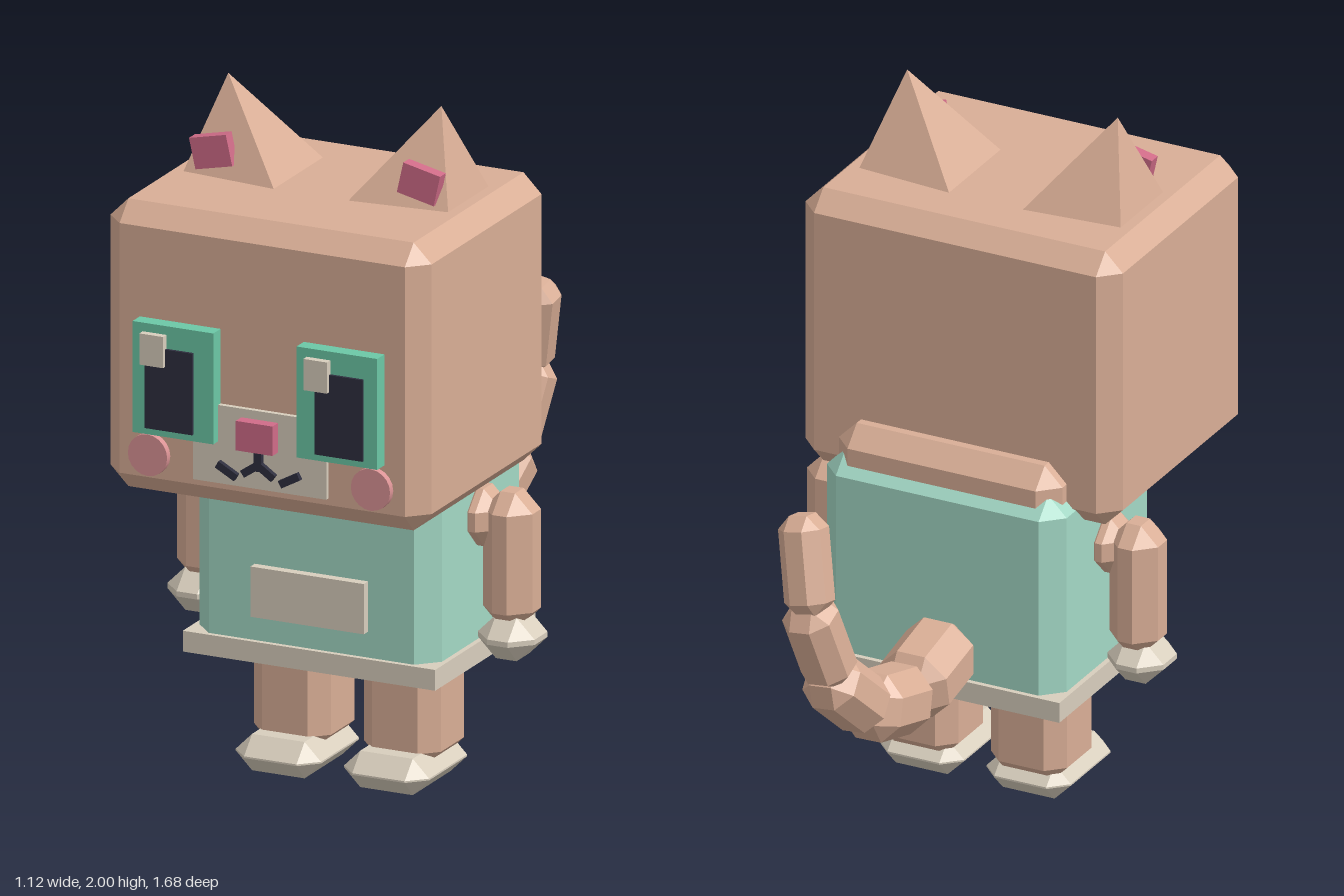
import * as THREE from 'three';
import { ConvexGeometry } from 'three/addons/geometries/ConvexGeometry.js';

const mat = (name, color) => {
  const m = new THREE.MeshStandardMaterial({ color });
  m.name = name;
  return m;
};

// Box with every edge cut flat by c
function chamferBox(w, h, d, c) {
  const pts = [];
  for (const x of [-1, 1]) for (const y of [-1, 1]) for (const z of [-1, 1]) {
    const X = x * w / 2, Y = y * h / 2, Z = z * d / 2;
    pts.push(
      new THREE.Vector3(X, Y - y * c, Z - z * c),
      new THREE.Vector3(X - x * c, Y, Z - z * c),
      new THREE.Vector3(X - x * c, Y - y * c, Z));
  }
  return new ConvexGeometry(pts);
}

export function createModel() {
  const model = new THREE.Group();
  model.name = 'blockyCat';

  const fur = mat('fur', 0xd9ae96);
  const shirt = mat('shirtGreen', 0xa3d8c5);
  const iris = mat('irisGreen', 0x6cc8a6);
  const cream = mat('cream', 0xd8cebd);
  const pink = mat('pink', 0xd06c88);
  const blush = mat('blush', 0xdc9496);
  const dark = mat('dark', 0x2e2e3e);

  const add = (name, geometry, material, x, y, z, rz = 0) => {
    const mesh = new THREE.Mesh(geometry, material);
    mesh.name = name;
    mesh.position.set(x, y, z);
    mesh.rotation.z = rz;
    model.add(mesh);
    return mesh;
  };
  // Parts given by their limits: [x0, x1], [y0, y1], [z0, z1]; c > 0 chamfers the edges
  const block = (name, material, [x0, x1], [y0, y1], [z0, z1], c = 0) => {
    const w = x1 - x0, h = y1 - y0, d = z1 - z0;
    const g = c ? chamferBox(w, h, d, c) : new THREE.BoxGeometry(w, h, d);
    return add(name, g, material, (x0 + x1) / 2, (y0 + y1) / 2, (z0 + z1) / 2);
  };
  const span = (s, a, b) => (s > 0 ? [a, b] : [-b, -a]);

  // Head and torso
  block('head', fur, [-0.49, 0.49], [0.91, 1.74], [-0.02, 0.77], 0.055);
  block('torso', fur, [-0.345, 0.345], [0.38, 1.09], [-0.10, 0.44], 0.055);
  block('shirt', shirt, [-0.37, 0.37], [0.36, 1.015], [-0.125, 0.465], 0.057);
  block('shirtHem', cream, [-0.385, 0.385], [0.37, 0.43], [-0.14, 0.48]);
  block('pocket', cream, [-0.173, 0.173], [0.505, 0.65], [0.44, 0.492]);

  for (const s of [1, -1]) {
    const side = s > 0 ? 'left' : 'right';

    // Arms and legs
    block(side + 'Shoulder', fur, span(s, 0.32, 0.45), [0.705, 0.87], [0.09, 0.255], 0.055);
    block(side + 'Arm', fur, span(s, 0.392, 0.542), [0.48, 0.87], [0.09, 0.25], 0.053);
    block(side + 'Hand', cream, span(s, 0.387, 0.56), [0.395, 0.52], [0.085, 0.275], 0.055);
    block(side + 'Leg', fur, span(s, 0.05, 0.285), [0.06, 0.50], [0.05, 0.29], 0.048);
    block(side + 'Foot', cream, span(s, 0.035, 0.295), [0.005, 0.11], [0.05, 0.385], 0.05);

    // Pyramid ear with a pink inner plate
    add(side + 'Ear', new ConvexGeometry([
      new THREE.Vector3(s * 0.11, 1.735, 0.16), new THREE.Vector3(s * 0.11, 1.735, 0.47),
      new THREE.Vector3(s * 0.405, 1.735, 0.44), new THREE.Vector3(s * 0.405, 1.735, 0.185),
      new THREE.Vector3(s * 0.325, 2.0, 0.32),
    ]), fur, 0, 0, 0);
    add(side + 'InnerEar', new THREE.BoxGeometry(0.115, 0.09, 0.036), pink,
      s * 0.317, 1.81, 0.428, -s * 0.22);

    // Eyes: both highlights sit toward the same side
    block(side + 'Iris', iris, span(s, 0.127, 0.373), [1.105, 1.425], [0.74, 0.815]);
    block(side + 'Pupil', dark, span(s, 0.187, 0.332), [1.125, 1.36], [0.815, 0.824]);
    block(side + 'Highlight', cream, [s * 0.25 - 0.092, s * 0.25 - 0.02], [1.31, 1.4], [0.81, 0.836]);

    // Cheek
    add(side + 'Cheek', new THREE.CylinderGeometry(0.06, 0.06, 0.03, 20).rotateX(Math.PI / 2),
      blush, s * 0.34, 1.035, 0.775);

    // Mouth curve
    add(side + 'MouthInner', new THREE.BoxGeometry(0.06, 0.022, 0.03), dark, s * 0.022, 1.043, 0.785, -s * 0.6);
    add(side + 'MouthOuter', new THREE.BoxGeometry(0.065, 0.022, 0.03), dark, s * 0.096, 1.028, 0.785, s * 0.5);
  }

  // Muzzle
  block('muzzle', cream, [-0.203, 0.203], [0.985, 1.21], [0.74, 0.785]);
  block('nose', pink, [-0.056, 0.056], [1.10, 1.185], [0.76, 0.82]);
  block('mouthStem', dark, [-0.011, 0.011], [1.04, 1.11], [0.77, 0.80]);

  // Tail: chamfered links from point to point, getting thinner
  const links = [
    [[-0.01, 0.51, -0.06], [-0.01, 0.45, -0.335], 0.205],
    [[-0.01, 0.44, -0.30], [0.0, 0.51, -0.57], 0.19],
    [[0.0, 0.49, -0.525], [0.035, 0.675, -0.73], 0.165],
    [[0.025, 0.65, -0.69], [0.06, 0.91, -0.785], 0.148],
    [[0.045, 0.88, -0.785], [0.10, 1.15, -0.73], 0.13],
  ];
  links.forEach(([a, b, w], i) => {
    const p = new THREE.Vector3(...a), q = new THREE.Vector3(...b);
    const dir = q.clone().sub(p), mid = p.clone().add(q).multiplyScalar(0.5);
    const link = add('tailLink' + (i + 1), chamferBox(w, dir.length(), w, w * 0.29), fur, mid.x, mid.y, mid.z);
    link.quaternion.setFromUnitVectors(new THREE.Vector3(0, 1, 0), dir.normalize());
  });

  return model;
}
